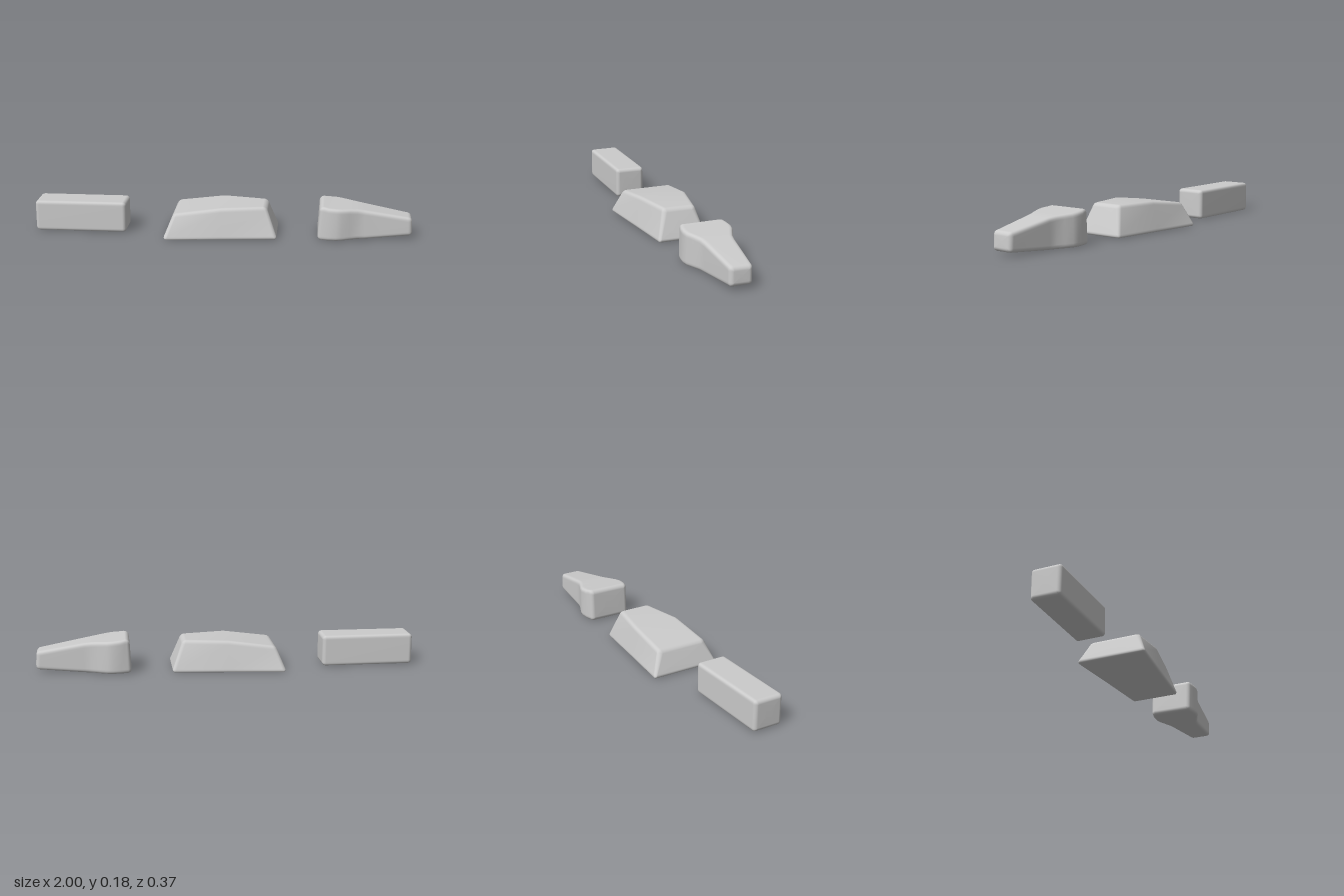
import * as THREE from 'three';

const ARC = 5;   // segments per rounded corner
const END = 5;   // segments per rounded end

// Rounded trapezoid ring, counter-clockwise seen from +x.
// s: xb, xt = x at bottom and top; yb, yt = heights; wb, wt = half widths
function ring(s, inset, shift, r) {
  const yb = s.yb + inset, yt = s.yt - inset;
  const wb = s.wb - inset, wt = s.wt - inset;
  const corners = [[-wb, yb], [-wt, yt], [wt, yt], [wb, yb]].map(c => new THREE.Vector2(...c));
  const setback = Math.max(r - inset, 0.0005);
  const toward = (from, to) => to.clone().sub(from).setLength(setback).add(from);
  const points = [];
  corners.forEach((c, i) => {
    const a = toward(c, corners[(i + 3) % 4]);
    const b = toward(c, corners[(i + 1) % 4]);
    const mid = c.clone();
    const arc = new THREE.QuadraticBezierCurve(a, mid, b);
    // pull the curve slightly outward so it follows a circular fillet
    arc.v1.lerp(a.clone().add(b).multiplyScalar(0.5), -0.12);
    points.push(...arc.getPoints(ARC));
  });
  return points.map(p => {
    const t = (p.y - s.yb) / (s.yt - s.yb);
    return [s.xb + (s.xt - s.xb) * t + shift, p.y, p.x];
  });
}

// Loft through the stations along x, with rounded ends and flat caps
function softLoft(name, stations, r, material) {
  const rings = [];
  const first = stations[0], last = stations[stations.length - 1];
  for (let i = 0; i <= END; i++) {
    const a = (i / END) * Math.PI / 2;
    rings.push(ring(first, r * (1 - Math.sin(a)), r * (1 - Math.cos(a)), r));
  }
  stations.slice(1, -1).forEach(s => rings.push(ring(s, 0, 0, r)));
  for (let i = END; i >= 0; i--) {
    const a = (i / END) * Math.PI / 2;
    rings.push(ring(last, r * (1 - Math.sin(a)), -r * (1 - Math.cos(a)), r));
  }

  const n = rings[0].length, index = [];
  const positions = rings.flat(2);
  for (let i = 0; i < rings.length - 1; i++) {
    for (let j = 0; j < n; j++) {
      const k = (j + 1) % n;
      const a = i * n + j, b = i * n + k, c = a + n, d = b + n;
      index.push(a, b, c, b, d, c);
    }
  }
  // End caps
  [0, rings.length - 1].forEach(i => {
    const centre = positions.length / 3;
    for (let axis = 0; axis < 3; axis++) {
      positions.push(rings[i].reduce((sum, p) => sum + p[axis], 0) / n);
    }
    for (let j = 0; j < n; j++) {
      const a = i * n + j, b = i * n + (j + 1) % n;
      if (i === 0) index.push(centre, b, a);
      else index.push(centre, a, b);
    }
  });

  // Rings run with -z on the right as seen from +x
  const geometry = new THREE.BufferGeometry();
  geometry.setAttribute('position', new THREE.Float32BufferAttribute(positions, 3));
  geometry.setIndex(index);
  geometry.computeVertexNormals();
  const mesh = new THREE.Mesh(geometry, material);
  mesh.name = name;
  return mesh;
}

const station = (xb, xt, yb, yt, wb, wt) => ({ xb, xt, yb, yt, wb, wt });

export function createModel() {
  const group = new THREE.Group();
  group.name = 'threeSoftBlocks';
  const grey = new THREE.MeshStandardMaterial({ color: 0xcccccc });

  // Plain bar
  group.add(softLoft('straightBar', [
    station(-1, -1, 0, 0.163, 0.08, 0.08),
    station(-0.512, -0.512, 0, 0.163, 0.08, 0.08),
  ], 0.02, grey));

  // Wedge with splayed sides and sloping ends
  group.add(softLoft('splayedWedge', [
    station(-0.303, -0.25, 0, 0.132, 0.192, 0.137),
    station(0, 0, 0, 0.163, 0.161, 0.13),
    station(0.297, 0.235, 0, 0.163, 0.134, 0.088),
  ], 0.02, grey));

  // Tapered piece: wide head, concave shoulder, narrow tip
  group.add(softLoft('taperedHandle', [
    station(0.503, 0.513, 0, 0.18, 0.117, 0.117),
    station(0.56, 0.56, 0, 0.176, 0.125, 0.125),
    station(0.6, 0.6, 0, 0.173, 0.128, 0.128),
    station(0.63, 0.63, 0, 0.17, 0.122, 0.122),
    station(0.67, 0.67, 0, 0.167, 0.104, 0.104),
    station(0.71, 0.71, 0, 0.163, 0.087, 0.087),
    station(0.75, 0.75, 0.001, 0.157, 0.08, 0.08),
    station(1, 0.995, 0.018, 0.118, 0.06, 0.06),
  ], 0.023, grey));

  return group;
}
